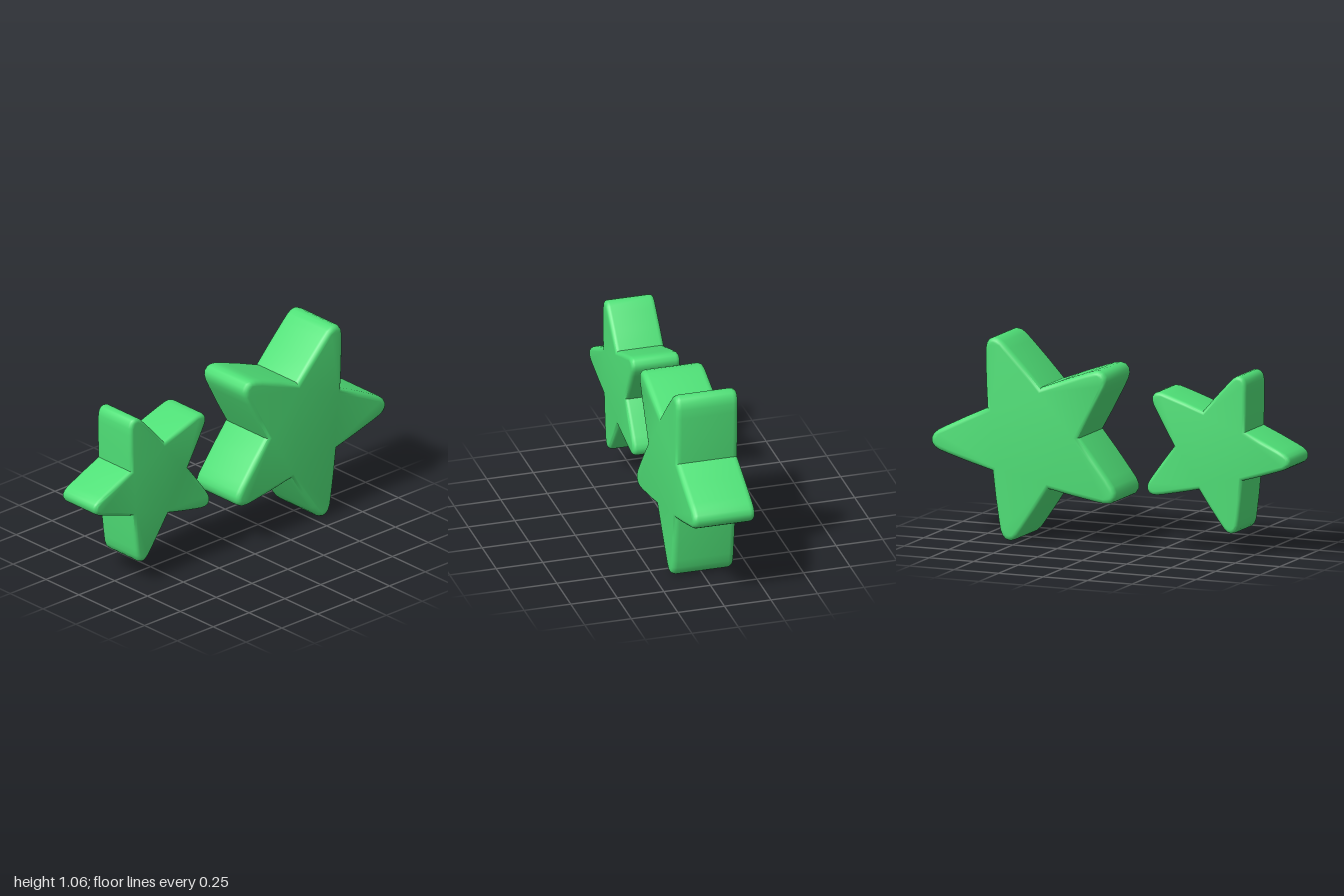
import * as THREE from 'three';
import { toCreasedNormals } from 'three/addons/utils/BufferGeometryUtils.js';

// Half of one arm, from the inner corner to the rounded tip (arm along +x)
const ARM = [[0.2265, 0.1646], [0.35, 0.12], [0.47, 0.073], [0.515, 0.054], [0.541, 0.036], [0.555, 0.014]];

// Five-armed outline; one arm points along the given angle
function starShape(scale, angle) {
  const points = [];
  for (let i = 0; i < 5; i++) {
    const a = angle + (i * Math.PI * 2) / 5;
    const lower = ARM.map(([x, y]) => new THREE.Vector2(x, -y));
    const upper = ARM.slice(1).reverse().map(([x, y]) => new THREE.Vector2(x, y));
    for (const p of [...lower, ...upper]) {
      points.push(p.multiplyScalar(scale).rotateAround(new THREE.Vector2(), a));
    }
  }
  return new THREE.Shape(points);
}

// Thick star with softly rounded front and back edges
function makeStar(name, scale, degrees, halfDepth, x, y, material) {
  const bevelSize = 0.025 * scale;
  const bevelThickness = 0.03 * scale;
  const depth = 2 * (halfDepth - bevelThickness);
  const geometry = new THREE.ExtrudeGeometry(starShape(scale, THREE.MathUtils.degToRad(degrees)), {
    depth, bevelEnabled: true, bevelSize, bevelThickness, bevelOffset: -bevelSize, bevelSegments: 4,
  });
  geometry.translate(0, 0, -depth / 2);
  const star = new THREE.Mesh(toCreasedNormals(geometry, THREE.MathUtils.degToRad(45)), material);
  star.name = name;
  star.position.set(x, y, -0.002);
  return star;
}

export function createModel() {
  const group = new THREE.Group();
  group.name = 'starPair';
  const green = new THREE.MeshStandardMaterial({ color: 0x4fe077 });
  group.add(makeStar('largeStar', 1, -5, 0.167, 0.446, 0.544, green));
  group.add(makeStar('smallStar', 0.78, 183.5, 0.131, -0.568, 0.546, green));
  return group;
}
